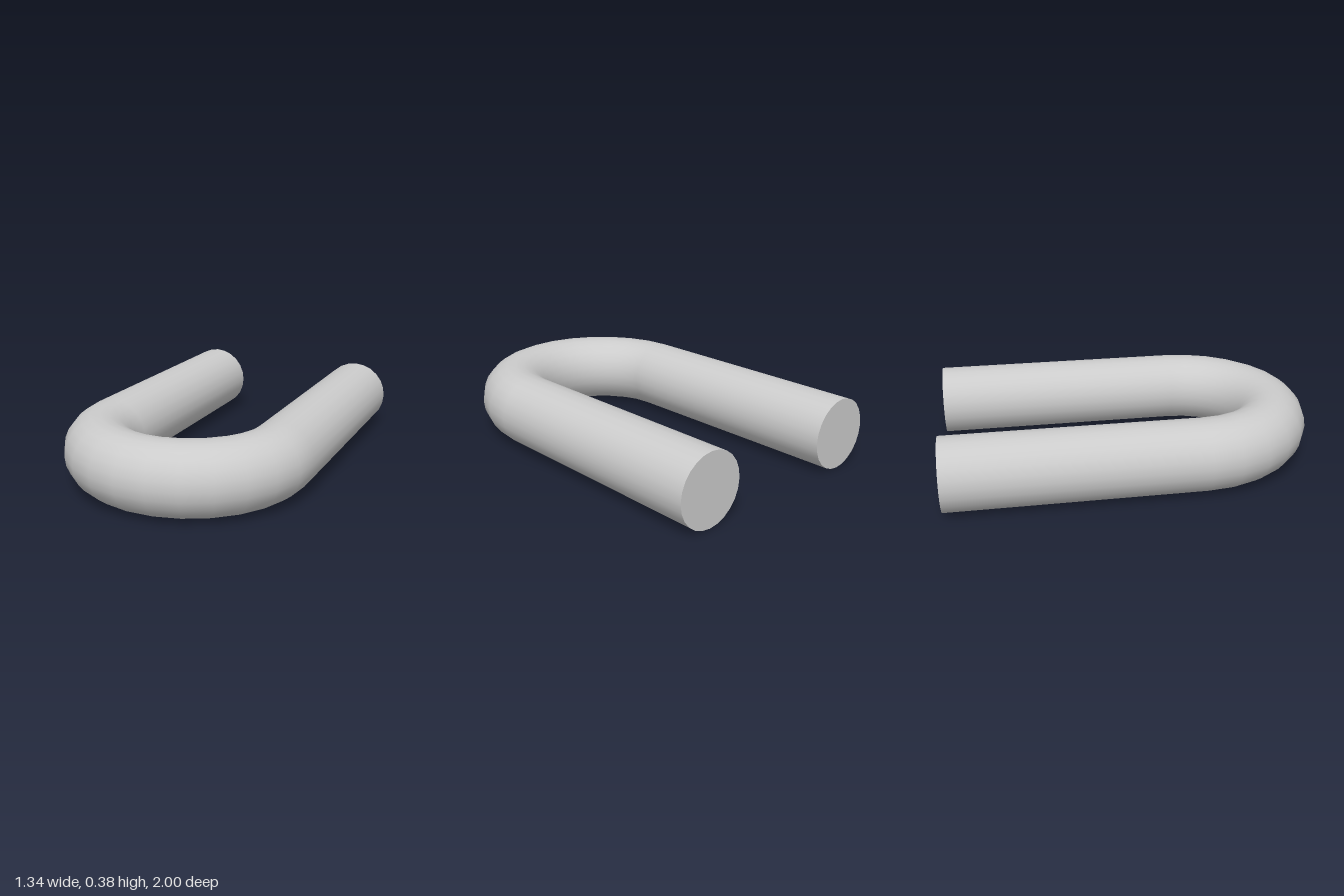
import * as THREE from 'three';

const BEND_R = 0.482;   // centre line radius of the bend
const TUBE_R = 0.189;   // radius of the round bar
const BEND_Z = 0.335;   // where the straight legs meet the bend
const BACK_Z = -1;
const SIDES = 24;

export function createModel() {
  const group = new THREE.Group();
  group.name = 'uBar';
  const material = new THREE.MeshStandardMaterial({ color: 0xcccccc });

  const add = (name, geometry, x, z) => {
    const mesh = new THREE.Mesh(geometry, material);
    mesh.name = name;
    mesh.position.set(x, TUBE_R, z);
    group.add(mesh);
  };

  // Half-ring bend at the front
  add('bend', new THREE.TorusGeometry(BEND_R, TUBE_R, SIDES, 13, Math.PI).rotateX(Math.PI / 2), 0, BEND_Z);

  // Straight legs running back, each closed by a flat end
  const length = BEND_Z - BACK_Z;
  for (const [side, sign] of [['left', 1], ['right', -1]]) {
    const x = sign * BEND_R;
    add(side + 'Leg',
      new THREE.CylinderGeometry(TUBE_R, TUBE_R, length, SIDES, 1, true).rotateX(Math.PI / 2),
      x, (BEND_Z + BACK_Z) / 2);
    add(side + 'LegEnd', new THREE.CircleGeometry(TUBE_R, SIDES).rotateY(Math.PI), x, BACK_Z);
  }
  return group;
}
